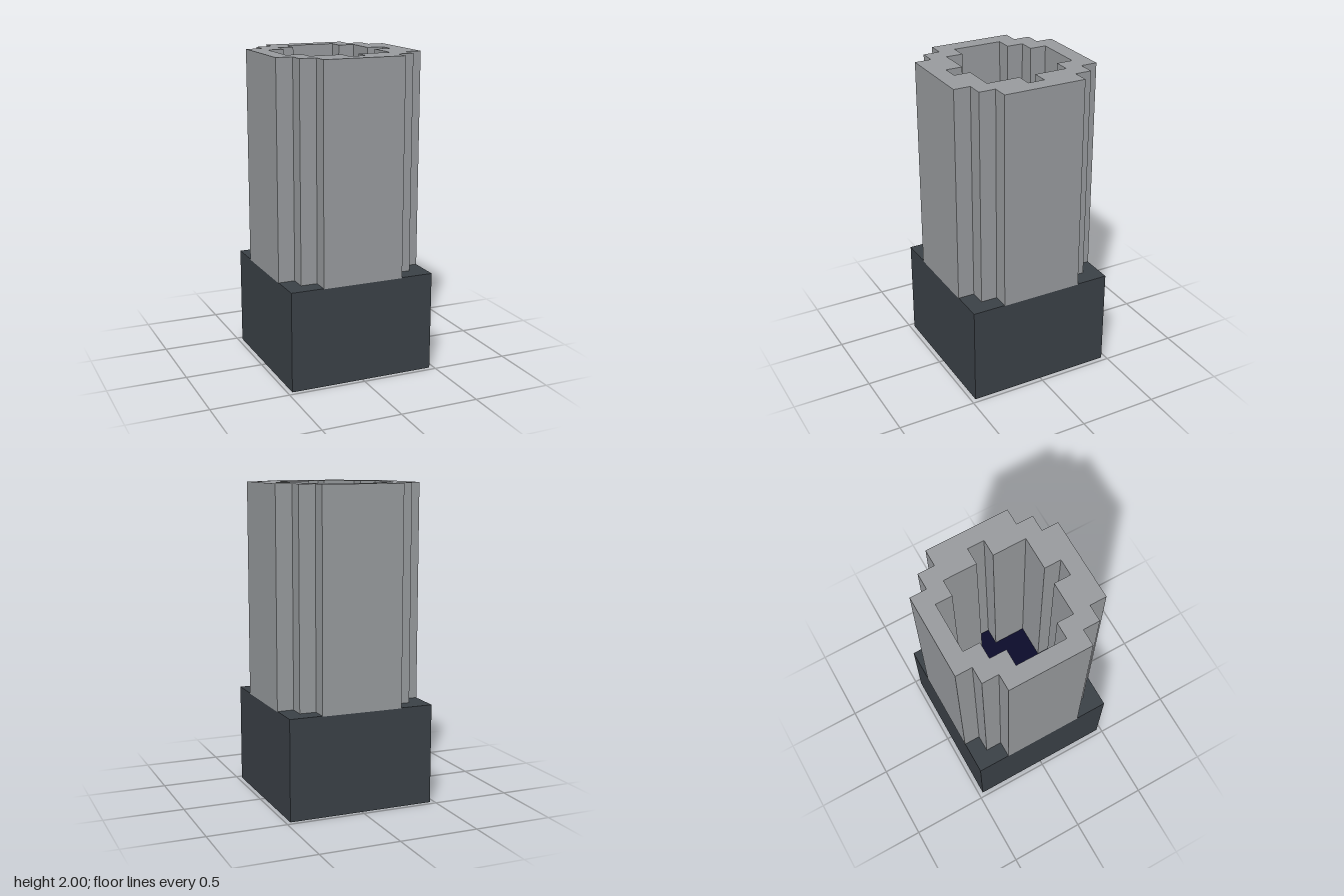
import * as THREE from 'three';

const CELL = 0.105; // step of the square grid the plan is drawn on

// Plan outlines in grid steps: x to the right, second value is z
const OUTER_CORNER = [[2.5, 4.5], [2.5, 3.5], [3.5, 3.5], [3.5, 2.5], [4.5, 2.5]];
const HOLE = [
  [-1.5, -3.5], [1.5, -3.5], [1.5, -2.5], [2.5, -2.5],
  [2.5, -0.5], [3.5, -0.5], [3.5, 0.5], [2.5, 0.5],
  [2.5, 2.5], [0.5, 2.5], [0.5, 3.5], [-0.5, 3.5], [-0.5, 2.5], [-2.5, 2.5],
  [-2.5, 1.5], [-3.5, 1.5], [-3.5, -1.5], [-2.5, -1.5], [-2.5, -2.5], [-1.5, -2.5],
];

const toPoints = (list) => list.map(([x, z]) => new THREE.Vector2(x * CELL, z * CELL));

// Extrudes a plan downwards from the given top height
function extrudeDown(shape, top, bottom) {
  const geometry = new THREE.ExtrudeGeometry(shape, { depth: top - bottom, bevelEnabled: false });
  return geometry.rotateX(Math.PI / 2).translate(0, top, 0);
}

export function createModel() {
  const group = new THREE.Group();
  const material = (name, color) => {
    const m = new THREE.MeshStandardMaterial({ color });
    m.name = name;
    return m;
  };
  const add = (name, geometry, mat) => {
    const mesh = new THREE.Mesh(geometry, mat);
    mesh.name = name;
    group.add(mesh);
  };

  const baseHeight = 0.634;

  // Solid dark base block
  const base = new THREE.BoxGeometry(0.942, baseHeight, 0.942).translate(0, baseHeight / 2, 0);
  add('base', base, material('dark slate', 0x3b4147));

  // Hollow shaft: the same stepped corner turned through four quarters
  const outline = [];
  for (let i = 0; i < 4; i++) {
    for (const [x, z] of OUTER_CORNER) {
      outline.push([[x, z], [z, -x], [-x, -z], [-z, x]][i]);
    }
  }
  const shaft = new THREE.Shape(toPoints(outline));
  shaft.holes.push(new THREE.Path(toPoints(HOLE)));
  add('shaft', extrudeDown(shaft, 2, baseHeight - 0.003), material('stone grey', 0x999c9f));

  // Thin dark floor at the bottom of the shaft
  const floor = new THREE.Shape(toPoints(HOLE));
  add('shaftFloor', extrudeDown(floor, baseHeight + 0.005, baseHeight), material('midnight blue', 0x0c0c2b));

  return group;
}
